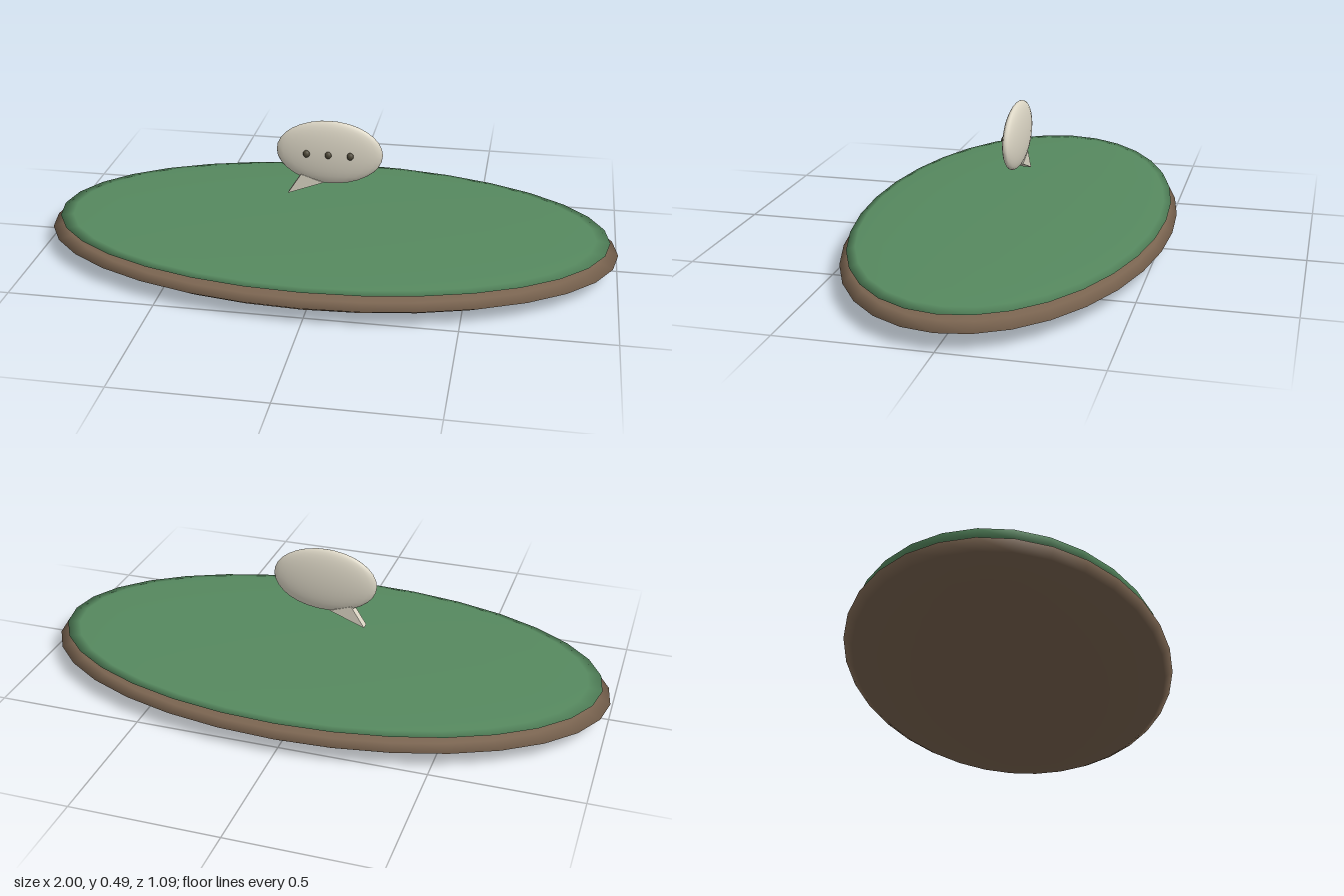
import * as THREE from 'three';

function material(name, color) {
  const m = new THREE.MeshStandardMaterial({ color });
  m.name = name;
  return m;
}

export function createModel() {
  const group = new THREE.Group();
  const earth = material('earth brown', 0x7a6450);
  const grass = material('grass green', 0x56895f);
  const cream = material('cream', 0xddd7c6);
  const dark = material('dark olive', 0x4c4636);

  function add(name, geometry, mat) {
    const mesh = new THREE.Mesh(geometry, mat);
    mesh.name = name;
    group.add(mesh);
    return mesh;
  }

  // Smooth ellipsoid given by its three radii and centre
  function ellipsoid(name, mat, [rx, ry, rz], [x, y, z], sides, rings) {
    const geometry = new THREE.SphereGeometry(1, sides, rings).scale(rx, ry, rz);
    add(name, geometry, mat).position.set(x, y, z);
  }

  // Ground: a brown lens with a thinner grass lens on top
  ellipsoid('earthBase', earth, [1, 0.06, 0.545], [0, 0.06, 0], 32, 10);
  ellipsoid('grassTop', grass, [0.97, 0.018, 0.523], [0, 0.105, 0], 32, 10);

  // Floating speech bubble
  ellipsoid('bubble', cream, [0.185, 0.115, 0.029], [0, 0.372, 0], 24, 16);

  // Flat triangular tail at the lower left of the bubble
  const tail = new THREE.Shape([
    new THREE.Vector2(-0.145, 0.214),
    new THREE.Vector2(-0.02, 0.262),
    new THREE.Vector2(-0.098, 0.288),
  ]);
  const depth = 0.028;
  const tailGeometry = new THREE.ExtrudeGeometry(tail, { depth, bevelEnabled: false });
  add('bubbleTail', tailGeometry.translate(0, 0, -depth / 2), cream);

  // Three dots on the front of the bubble
  for (const x of [-0.076, 0, 0.076]) {
    ellipsoid('dot', dark, [0.012, 0.013, 0.012], [x, 0.372, 0.027], 12, 8);
  }

  return group;
}
